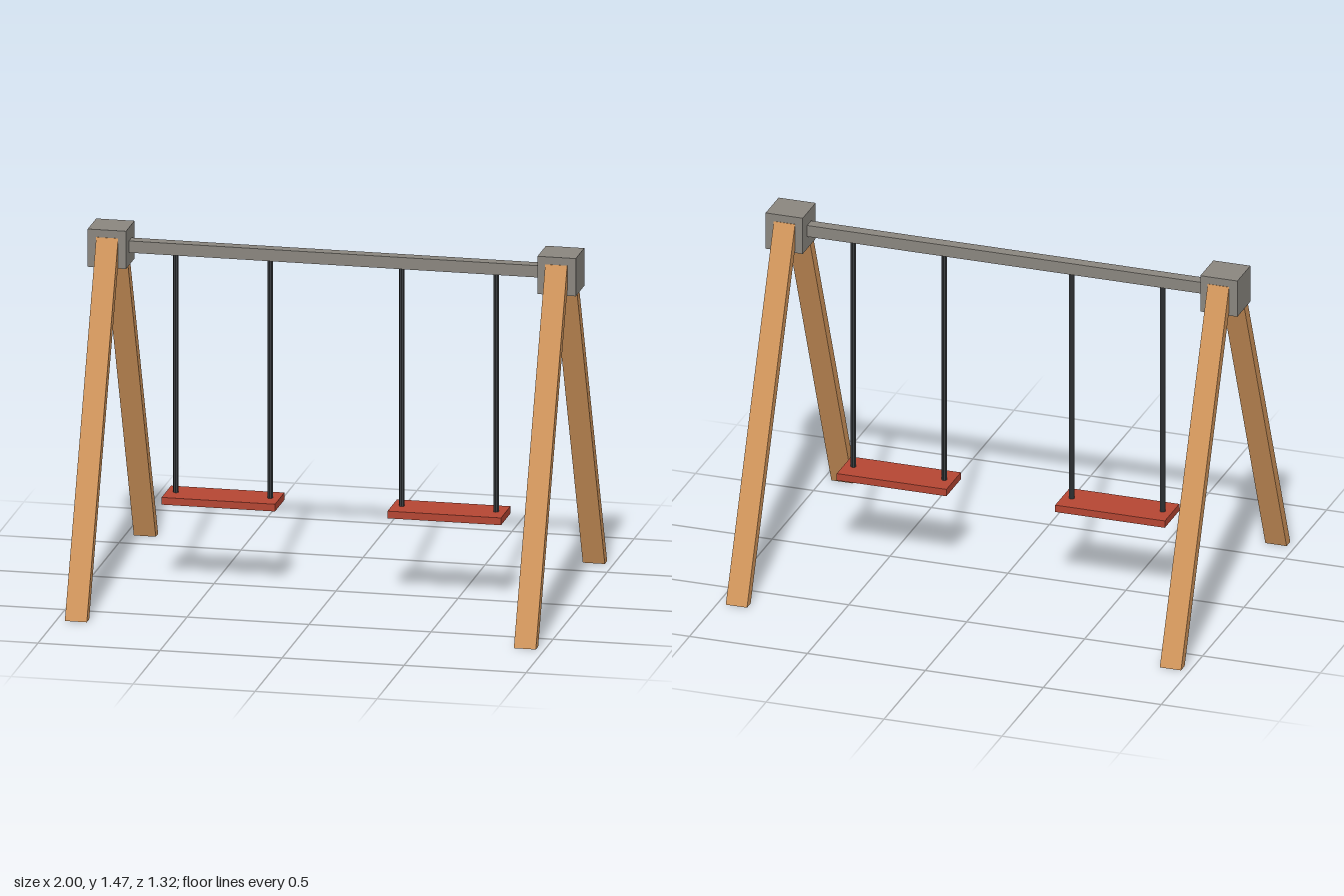
import * as THREE from 'three';

export function createModel() {
  const swingSet = new THREE.Group();
  swingSet.name = 'swingSet';

  const mat = (name, color) => {
    const m = new THREE.MeshStandardMaterial({ color });
    m.name = name;
    return m;
  };
  const wood = mat('wood', 0xd2965c);
  const metal = mat('greyMetal', 0x8a867f);
  const rope = mat('darkRope', 0x3a3d40);
  const red = mat('redSeat', 0xb54633);
  rope.flatShading = true;

  const add = (name, geometry, material, x, y, z, parent = swingSet) => {
    const mesh = new THREE.Mesh(geometry, material);
    mesh.name = name;
    mesh.position.set(x, y, z);
    parent.add(mesh);
    return mesh;
  };

  // Leaning leg: side profile cut flat at the ground and ending inside the bracket
  const legWidth = 0.09;
  const profile = new THREE.Shape([
    [0.617, 0], [0.661, 0], [0.08, 1.435], [0.07, 1.435], [0.07, 1.352],
  ].map(([z, y]) => new THREE.Vector2(z, y)));
  const legGeometry = new THREE.ExtrudeGeometry(profile, { depth: legWidth, bevelEnabled: false });
  legGeometry.translate(0, 0, -legWidth / 2);
  const bracketGeometry = new THREE.BoxGeometry(0.157, 0.157, 0.157);

  // End frames: a bracket block with a front and a back leg
  for (const [side, sx] of [['left', 1], ['right', -1]]) {
    add(side + 'Bracket', bracketGeometry, metal, sx * 0.9215, 1.388, 0);
    add(side + 'FrontLeg', legGeometry, wood, sx * 0.92, 0, 0).rotation.y = -Math.PI / 2;
    add(side + 'BackLeg', legGeometry, wood, sx * 0.92, 0, 0).rotation.y = Math.PI / 2;
  }

  // Top beam
  add('topBeam', new THREE.BoxGeometry(1.72, 0.049, 0.049), metal, 0, 1.387, 0);

  // Swings: a plank seat hung on two ropes
  const ropeGeometry = new THREE.CylinderGeometry(0.011, 0.011, 1.01, 8);
  const seatGeometry = new THREE.BoxGeometry(0.465, 0.03, 0.175);
  for (const [side, sx] of [['left', 1], ['right', -1]]) {
    const swing = new THREE.Group();
    swing.name = side + 'Swing';
    swing.position.x = sx * 0.463;
    swingSet.add(swing);
    add('seat', seatGeometry, red, 0, 0.356, 0, swing);
    for (const rx of [-0.193, 0.193]) add('rope', ropeGeometry, rope, rx, 0.868, 0, swing);
  }

  return swingSet;
}
